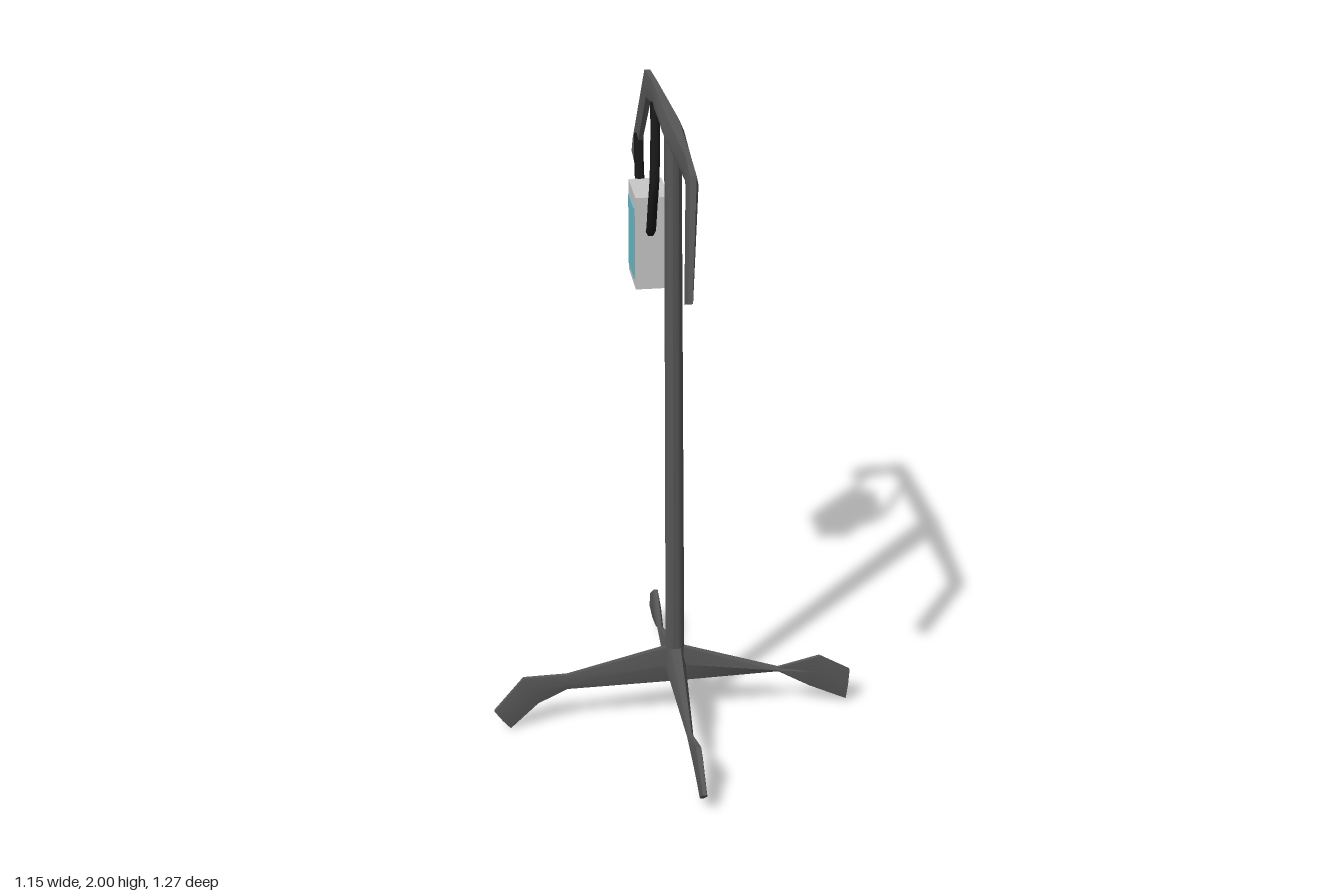
import * as THREE from 'three';
import { toCreasedNormals } from 'three/addons/utils/BufferGeometryUtils.js';

const mat = (name, color) => {
  const m = new THREE.MeshStandardMaterial({ color });
  m.name = name;
  return m;
};

// Join rings of points into a closed solid, turned outwards by its signed volume.
function skin(rings) {
  const tris = [], n = rings[0].length;
  for (let i = 0; i < rings.length - 1; i++) {
    for (let j = 0; j < n; j++) {
      const k = (j + 1) % n, a = rings[i], b = rings[i + 1];
      tris.push([a[j], b[j], b[k]], [a[j], b[k], a[k]]);
    }
  }
  const first = rings[0], last = rings[rings.length - 1];
  for (let j = 1; j < n - 1; j++) {
    tris.push([first[0], first[j], first[j + 1]], [last[0], last[j + 1], last[j]]);
  }
  let volume = 0;
  for (const [a, b, c] of tris) volume += a.dot(b.clone().cross(c));
  if (volume < 0) tris.forEach(t => t.reverse());
  const geo = new THREE.BufferGeometry().setFromPoints(tris.flat());
  return toCreasedNormals(geo, 0.7);
}

// Flat bar along x or z. Each section: [top u, top y, bottom u, bottom y, side offset, half width].
function bar(axis, sections) {
  const at = (u, y, o) => axis === 'x' ? new THREE.Vector3(u, y, o) : new THREE.Vector3(o, y, u);
  return skin(sections.map(([tu, ty, bu, by, c, w]) => {
    const mu = (tu + bu) / 2, my = (ty + by) / 2, s = w * 0.5;
    return [at(tu, ty, c - s), at(tu, ty, c + s), at(mu, my, c + w),
      at(bu, by, c + s), at(bu, by, c - s), at(mu, my, c - w)];
  }));
}

export function createModel() {
  const model = new THREE.Group();
  model.name = 'dripStand';
  const metal = mat('dark grey metal', 0x575757);
  const casing = mat('light grey casing', 0xc8c8c8);
  const screen = mat('teal panel', 0x6cbcca);
  const rubber = mat('black rubber', 0x171717);
  const add = (name, geo, material) => {
    const mesh = new THREE.Mesh(geo, material);
    mesh.name = name;
    model.add(mesh);
    return mesh;
  };

  // Pole: oval, widening along z towards the crossbar
  const oval = (y, x, z, rx, rz) => Array.from({ length: 10 }, (_, i) => {
    const a = i / 10 * Math.PI * 2;
    return new THREE.Vector3(x + rx * Math.cos(a), y, z + rz * Math.sin(a));
  });
  add('pole', skin([
    oval(0.15, 0, 0.02, 0.03, 0.018),
    oval(0.26, 0, 0.02, 0.03, 0.02),
    oval(1.96, -0.008, 0.03, 0.025, 0.066),
  ]), metal);

  // Crossbar with a bent hook at each end
  add('crossbar', bar('z', [
    [0.64, 1.675, 0.57, 1.645, -0.043, 0.012],
    [0.515, 1.995, 0.46, 1.925, -0.018, 0.018],
    [0.36, 2, 0.36, 1.925, -0.01, 0.014],
    [0.02, 2, 0.02, 1.925, -0.006, 0.032],
    [-0.36, 2, -0.36, 1.925, -0.01, 0.014],
    [-0.475, 2, -0.44, 1.925, -0.018, 0.018],
    [-0.63, 1.73, -0.59, 1.665, -0.04, 0.012],
  ]), metal);

  // Four legs, pinched before each paddle-shaped foot
  add('sideLegs', bar('x', [
    [-0.58, 0.07, -0.53, 0.005, 0.033, 0.012],
    [-0.485, 0.178, -0.44, 0.085, 0.025, 0.013],
    [-0.345, 0.175, -0.345, 0.125, 0.016, 0.013],
    [0, 0.26, 0, 0.13, 0.016, 0.018],
    [0.335, 0.147, 0.335, 0.135, 0.014, 0.013],
    [0.47, 0.178, 0.44, 0.072, 0.012, 0.012],
    [0.57, 0.12, 0.56, 0.015, 0.012, 0.012],
  ]), metal);
  add('frontAndBackLegs', bar('z', [
    [0.61, 0.075, 0.55, 0.025, 0.01, 0.012],
    [0.5, 0.176, 0.46, 0.078, 0.006, 0.016],
    [0.365, 0.142, 0.365, 0.122, 0, 0.01],
    [0.02, 0.26, 0.02, 0.13, 0, 0.034],
    [-0.335, 0.128, -0.335, 0.115, 0, 0.01],
    [-0.49, 0.182, -0.44, 0.075, 0.004, 0.015],
    [-0.6, 0.11, -0.545, 0.045, 0.006, 0.012],
  ]), metal);

  // Hanging box with a coloured panel on each side
  add('box', new THREE.BoxGeometry(0.104, 0.3, 0.18), casing).position.set(-0.025, 1.495, -0.4);
  for (const side of [-1, 1]) {
    add(side > 0 ? 'leftPanel' : 'rightPanel', new THREE.BoxGeometry(0.006, 0.23, 0.135), screen)
      .position.set(-0.025 + side * 0.053, 1.49, -0.397);
  }

  // Tubes linking the box to the crossbar and the hook
  const tube = (name, points, segments) => {
    const curve = new THREE.CatmullRomCurve3(points.map(p => new THREE.Vector3(...p)));
    add(name, new THREE.TubeGeometry(curve, segments, 0.015, 6), rubber);
  };
  tube('longTube', [[-0.012, 1.94, -0.335], [-0.02, 1.83, -0.275], [-0.03, 1.72, -0.222],
    [-0.034, 1.66, -0.226], [-0.034, 1.555, -0.27], [-0.03, 1.53, -0.32]], 12);
  tube('shortTube', [[-0.035, 1.77, -0.56], [-0.04, 1.68, -0.515], [-0.04, 1.59, -0.48]], 5);

  return model;
}
